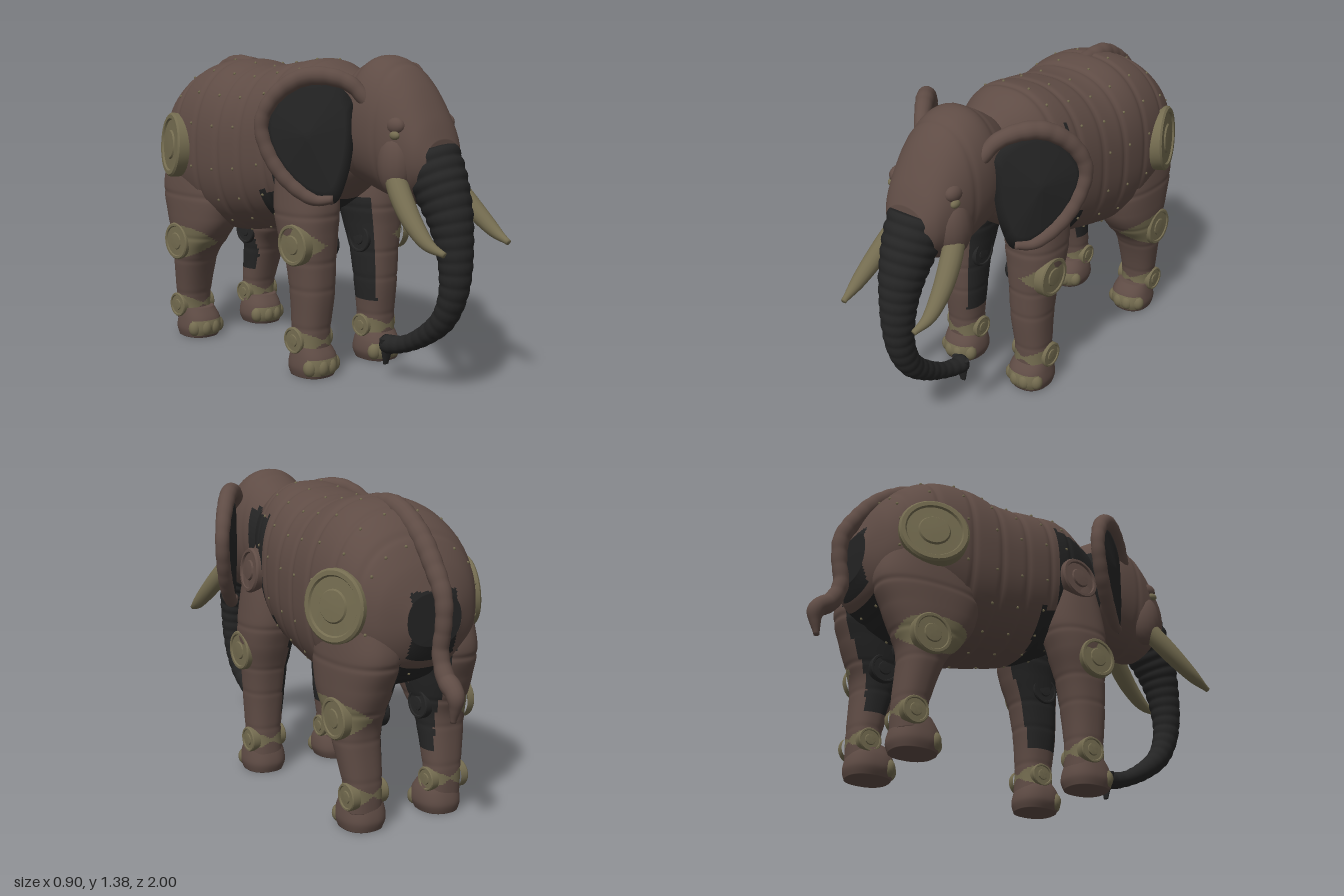
import * as THREE from 'three';
import { mergeGeometries, toCreasedNormals } from 'three/addons/utils/BufferGeometryUtils.js';

const V = (x, y, z) => new THREE.Vector3(x, y, z);

export function createModel() {
  const root = new THREE.Group();
  const flat = (name, color) => {
    const m = new THREE.MeshStandardMaterial({ color });
    m.name = name;
    return m;
  };
  const hide = flat('brown plating', 0x5f4c45);
  const dark = flat('dark rubber', 0x252525);
  const brass = flat('dull brass', 0x746c50);
  const mats = [hide, dark, brass];

  const add = (name, geo, mat) => {
    const m = new THREE.Mesh(geo, mat);
    m.name = name;
    root.add(m);
    return m;
  };

  // Skin a list of closed rings, cap both ends; pick(centre) gives the material index of a patch
  function skin(name, rings, pick) {
    const n = rings[0].length, pts = rings.flat(), patches = [];
    for (let j = 0; j < rings.length - 1; j++) for (let i = 0; i < n; i++) {
      const a = j * n + i, b = j * n + (i + 1) % n;
      patches.push([a, b, a + n, b, b + n, a + n]);
    }
    [0, rings.length - 1].forEach((j, end) => {
      const c = V(0, 0, 0);
      rings[j].forEach(p => c.addScaledVector(p, 1 / n));
      const k = pts.push(c) - 1;
      for (let i = 0; i < n; i++) {
        const a = j * n + i, b = j * n + (i + 1) % n;
        patches.push(end ? [a, b, k] : [b, a, k]);
      }
    });
    // turn all faces outward
    let vol = 0;
    for (const f of patches) for (let i = 0; i < f.length; i += 3) {
      vol += pts[f[i]].dot(V(0, 0, 0).crossVectors(pts[f[i + 1]], pts[f[i + 2]]));
    }
    if (vol < 0) patches.forEach(f => f.reverse());
    const buckets = [[], [], []];
    for (const f of patches) {
      const corners = [...new Set(f)], c = V(0, 0, 0);
      corners.forEach(i => c.addScaledVector(pts[i], 1 / corners.length));
      buckets[pick(c)].push(...f);
    }
    const g = new THREE.BufferGeometry().setFromPoints(pts);
    g.setIndex(buckets.flat());
    let start = 0;
    buckets.forEach((b, i) => {
      if (b.length) g.addGroup(start, b.length, i);
      start += b.length;
    });
    g.computeVertexNormals();
    return add(name, g, mats);
  }

  // Smoothly interpolate a table of rows
  function sample(rows, t) {
    const f = t * (rows.length - 1), i = Math.min(Math.floor(f), rows.length - 2), u = f - i;
    const r = k => rows[Math.max(0, Math.min(rows.length - 1, k))];
    return rows[i].map((p, k) => {
      const a = r(i - 1)[k], b = r(i + 2)[k], q = r(i + 1)[k];
      return p + 0.5 * u * (q - a + u * (2 * a - 5 * p + 4 * q - b + u * (3 * (p - q) + b - a)));
    });
  }

  // Rows are [t, a0, a1, b0, b1]: spans in the cross-section, b is always x
  function loft(rows, along, seams = [], steps = 80, sides = 40, e = 0.85, s = 1) {
    const rings = [];
    for (let j = 0; j <= steps; j++) {
      const [t, a0, a1, b0, b1] = sample(rows, j / steps);
      let k = 1;
      for (const q of seams) k -= 0.02 * Math.exp(-(((t - q) / 0.012) ** 2));
      const ring = [];
      for (let i = 0; i < sides; i++) {
        const w = i / sides * Math.PI * 2, c = Math.cos(w), d = Math.sin(w);
        const b = (b0 + b1) / 2 + (b1 - b0) / 2 * k * Math.sign(c) * Math.abs(c) ** e;
        const a = (a0 + a1) / 2 + (a1 - a0) / 2 * k * Math.sign(d) * Math.abs(d) ** e;
        ring.push(along === 'z' ? V(b * s, a, t) : V(b * s, t, a));
      }
      rings.push(ring);
    }
    return rings;
  }

  // Tapered tube with optional rib swell
  function tube(name, points, radii, steps, ribs, swell, mat) {
    const curve = new THREE.CatmullRomCurve3(points);
    const fr = curve.computeFrenetFrames(steps), rings = [];
    const rr = radii.map(r => [r]);
    for (let j = 0; j <= steps; j++) {
      const t = j / steps, p = curve.getPointAt(t);
      const r = sample(rr, t)[0] * (1 + swell * (Math.abs(Math.sin(t * ribs * Math.PI)) - 0.5));
      rings.push(Array.from({ length: 16 }, (_, i) => {
        const w = i / 16 * Math.PI * 2;
        return p.clone().addScaledVector(fr.normals[j], r * Math.cos(w)).addScaledVector(fr.binormals[j], r * Math.sin(w));
      }));
    }
    return skin(name, rings, () => mat);
  }

  // Round joint cover: raised rim, flat dish and a low centre boss
  function disc(name, r, d, pos, dir, mat) {
    const prof = [[1, -2], [1, 0.6], [0.94, 1], [0.82, 1], [0.78, 0.6], [0.46, 0.65], [0.42, 1], [0.2, 1.1], [0, 1.1]];
    const g = new THREE.LatheGeometry(prof.map(p => new THREE.Vector2(p[0] * r, p[1] * d)), 32);
    const m = add(name, toCreasedNormals(g, 0.5), mat);
    m.position.copy(pos);
    m.quaternion.setFromUnitVectors(V(0, 1, 0), dir.normalize());
  }

  function ball(name, r, pos, scale, mat) {
    const m = add(name, new THREE.SphereGeometry(r, 16, 12), mat);
    m.position.copy(pos);
    m.scale.set(...scale);
  }

  // Body: dark at the neck sides, behind the elbows, in the groin and under the tail
  const seams = [0.15, 0.02, -0.12, -0.26, -0.41, -0.57, -0.7];
  const bodyRings = loft([
    [0.42, 0.86, 1.24, -0.13, 0.13], [0.28, 0.76, 1.30, -0.2, 0.2], [0.15, 0.68, 1.35, -0.26, 0.26],
    [0, 0.61, 1.335, -0.295, 0.295], [-0.2, 0.56, 1.31, -0.32, 0.32], [-0.38, 0.53, 1.335, -0.335, 0.335],
    [-0.55, 0.56, 1.31, -0.33, 0.33], [-0.68, 0.62, 1.23, -0.3, 0.3], [-0.77, 0.69, 1.11, -0.235, 0.235],
    [-0.82, 0.78, 0.99, -0.13, 0.13]], 'z', seams, 150, 80);
  skin('body', bodyRings, p => {
    const x = Math.abs(p.x);
    if (p.z > 0.07 && x > 0.12 && p.y < 1.21 && p.y > 0.82) return 1;
    if (p.z > -0.02 + 0.4 * Math.max(0, 0.66 - p.y) && p.z < 0.26 && p.y < 0.78) return 1;
    if (p.z < -0.45 && p.z > -0.76 && p.y < 0.75 && x < 0.13) return 1;
    return p.z < -0.79 && p.y < 1 && x < 0.11 ? 1 : 0;
  });

  // Rivets beside each plate seam
  const rivets = [];
  for (const q of seams) {
    const ring = bodyRings.find(r => r[0].z < q - 0.025);
    for (let i = 2; i < 80; i += 5) rivets.push(new THREE.SphereGeometry(0.007, 6, 4).translate(ring[i].x, ring[i].y, ring[i].z));
  }
  add('bodyRivets', mergeGeometries(rivets), brass);

  // Head
  skin('head', loft([
    [0.28, 0.9, 1.25, -0.13, 0.13], [0.38, 0.85, 1.32, -0.175, 0.175], [0.49, 0.82, 1.375, -0.195, 0.195],
    [0.6, 0.79, 1.345, -0.19, 0.19], [0.69, 0.78, 1.265, -0.17, 0.17], [0.77, 0.83, 1.14, -0.14, 0.14],
    [0.81, 0.88, 1.05, -0.1, 0.1]], 'z', [0.44, 0.6], 60, 48, 0.92), p => (p.z < 0.39 && p.y < 1.21 ? 1 : 0));

  // Trunk, with a flat lip hanging from its tip
  tube('trunk', [V(0, 0.985, 0.735), V(0, 0.88, 0.79), V(0, 0.73, 0.855), V(0, 0.56, 0.885), V(0, 0.43, 0.875),
    V(0, 0.32, 0.825), V(0, 0.24, 0.735), V(0, 0.178, 0.625), V(0, 0.155, 0.55), V(0, 0.15, 0.5)],
  [0.12, 0.115, 0.097, 0.079, 0.067, 0.058, 0.05, 0.042, 0.036, 0.041], 150, 22, 0.06, 1);
  const lip = add('trunkLip', new THREE.CylinderGeometry(0.047, 0.014, 0.12, 16), dark);
  lip.position.set(0, 0.12, 0.508);
  lip.rotation.x = 0.1;
  lip.scale.z = 0.45;

  // Tail running off the spine
  tube('tail', [V(0, 1.305, -0.38), V(0, 1.3, -0.55), V(0, 1.215, -0.7), V(0, 1.1, -0.8), V(0, 0.98, -0.87),
    V(0, 0.87, -0.875), V(0, 0.76, -0.86), V(0, 0.67, -0.895), V(0, 0.61, -0.96), V(0, 0.5, -0.95)],
  [0.035, 0.042, 0.042, 0.042, 0.04, 0.036, 0.033, 0.035, 0.039, 0.012], 120, 18, 0.06, 0);

  const frontLeg = [[1.08, 0.12, 0.26, 0.12, 0.22], [0.95, 0.07, 0.3, 0.08, 0.285], [0.75, 0.05, 0.345, 0.06, 0.31],
    [0.62, 0.08, 0.345, 0.075, 0.31], [0.5, 0.12, 0.34, 0.09, 0.29], [0.35, 0.145, 0.335, 0.1, 0.28],
    [0.2, 0.155, 0.32, 0.115, 0.275], [0.08, 0.15, 0.32, 0.11, 0.28]];
  const rearLeg = [[0.98, -0.72, -0.42, 0.05, 0.29], [0.75, -0.79, -0.32, 0.05, 0.32], [0.6, -0.75, -0.34, 0.07, 0.325],
    [0.5, -0.71, -0.4, 0.09, 0.32], [0.4, -0.68, -0.485, 0.11, 0.315], [0.2, -0.69, -0.55, 0.12, 0.285],
    [0.08, -0.69, -0.55, 0.12, 0.28]];
  const foot = [[0.14, 0.17, 0.31, 0.12, 0.275], [0.09, 0.15, 0.345, 0.1, 0.285], [0.04, 0.14, 0.355, 0.095, 0.29], [0, 0.15, 0.34, 0.11, 0.28]];

  // Ear lines as [distance out from the head, height]
  const rimLine = [[-0.1, 1.19], [0.06, 1.262], [0.27, 1.292], [0.52, 1.285], [0.78, 1.21], [0.91, 1.1], [0.85, 0.98], [0.66, 0.86], [0.4, 0.785], [0.22, 0.79]];
  const skinLine = [[0.05, 1.2], [0.25, 1.27], [0.52, 1.28], [0.78, 1.2], [0.9, 1.1], [0.84, 0.98], [0.65, 0.86], [0.38, 0.775], [0.2, 0.775], [0.1, 0.86], [0.03, 1.02]];
  const panel = (line, s) => line.map(([u, y]) => V(s * (0.18 + 0.26 * u), y, 0.5 - 0.35 * u));

  for (const s of [1, -1]) {
    const side = s > 0 ? 'left' : 'right';

    // Legs: dark inner faces and brass cuffs that taper towards the middle
    for (const [kind, rows, knee, kz, dz] of [['Front', frontLeg, 0.58, 0.245, 0], ['Rear', rearLeg, 0.475, -0.59, -0.84]]) {
      skin(`${side}${kind}Leg`, loft(rows, 'y', [0.7, 0.5, 0.38, 0.21], 160, 48, 0.85, s), p => {
        const x = p.x * s, z = p.z - dz;
        if (Math.abs(p.y - 0.155) < 0.005 + 0.045 * Math.abs(x - 0.195) / 0.09) return 2;
        const wing = dz ? Math.abs(p.z - kz) > 0.04 : p.z > kz;
        if (wing && x > 0.2 && Math.abs(p.y - knee) < 0.065 * (x - 0.2) / 0.1) return 2;
        return x < 0.135 && p.y > 0.28 && p.y < 0.75 && z < 0.31 ? 1 : 0;
      });
      // Feet with a brass toe cap and rounded nails
      skin(`${side}${kind}Foot`, loft(foot.map(r => [r[0], r[1] + dz, r[2] + dz, r[3], r[4]]), 'y', [], 24, 48, 0.85, s),
        p => (p.z - dz > 0.3 && p.y > 0.01 && p.y < 0.085 ? 2 : 0));
      for (let i = 0; i < 4; i++) {
        const a = (i - 1.5) / 1.5;
        ball('toenail', 0.034, V(s * (0.192 + a * 0.066), 0.046, 0.334 + dz - 0.03 * a * a), [0.95, 1.15, 0.9], brass);
      }
    }

    // Joint covers
    const out = V(s, 0, 0);
    disc('frontKneeCover', 0.09, 0.015, V(s * 0.3, 0.58, 0.245), out.clone(), brass);
    disc('frontAnkleCover', 0.058, 0.013, V(s * 0.274, 0.155, 0.22), out.clone(), brass);
    disc('rearKneeCover', 0.088, 0.013, V(s * 0.315, 0.475, -0.59), out.clone(), brass);
    disc('rearAnkleCover', 0.058, 0.013, V(s * 0.28, 0.15, -0.635), out.clone(), brass);
    disc('hipCover', 0.15, 0.02, V(s * 0.32, 0.935, -0.6), V(s, 0.08, -0.34), brass);
    disc('shoulderCover', 0.1, 0.022, V(s * 0.275, 0.96, 0.17), V(s, 0.1, 0.1), hide);
    disc('innerKneeCover', 0.065, 0.012, V(s * 0.095, 0.56, 0.235), V(-s, 0, 0), dark);
    disc('innerRearKneeCover', 0.065, 0.012, V(s * 0.1, 0.475, -0.59), V(-s, 0, 0), dark);
    disc('innerAnkleCover', 0.052, 0.012, V(s * 0.115, 0.155, 0.23), V(-s, 0, 0), brass);
    disc('innerRearAnkleCover', 0.052, 0.012, V(s * 0.12, 0.15, -0.63), V(-s, 0, 0), brass);

    // Ear: dark membrane with a padded rim over the top and outer edge
    tube(`${side}EarRim`, panel(rimLine, s), [0.03, 0.034, 0.038, 0.037, 0.034, 0.031, 0.031, 0.031, 0.028, 0.018], 90, 16, 0.06, 0);
    const edge = new THREE.CatmullRomCurve3(panel(skinLine, s), true).getPoints(48).slice(0, 48);
    const mid = V(s * 0.3, 1.05, 0.34), nrm = V(s * 0.8, 0, 0.6);
    skin(`${side}EarMembrane`, [-0.1, -0.5, -0.8, 1, 0.8, 0.5, 0.1].map(k =>
      edge.map(p => mid.clone().lerp(p, Math.abs(k)).addScaledVector(nrm, (1 - Math.abs(k)) * 0.03 * Math.sign(k)))), () => 1);

    // Tusk, cheek, brow and eye
    tube(`${side}Tusk`, [V(s * 0.14, 0.9, 0.68), V(s * 0.165, 0.83, 0.74), V(s * 0.19, 0.74, 0.83), V(s * 0.2, 0.67, 0.92), V(s * 0.19, 0.64, 0.995)],
      [0.045, 0.045, 0.04, 0.03, 0.012], 40, 1, 0, 2);
    ball('cheek', 0.085, V(s * 0.13, 0.95, 0.67), [0.8, 1.5, 0.95], hide);
    ball('brow', 0.045, V(s * 0.145, 1.105, 0.685), [0.7, 0.8, 1], hide);
    ball('eye', 0.022, V(s * 0.166, 1.07, 0.7), [0.7, 0.8, 1.1], brass);
  }
  return root;
}
